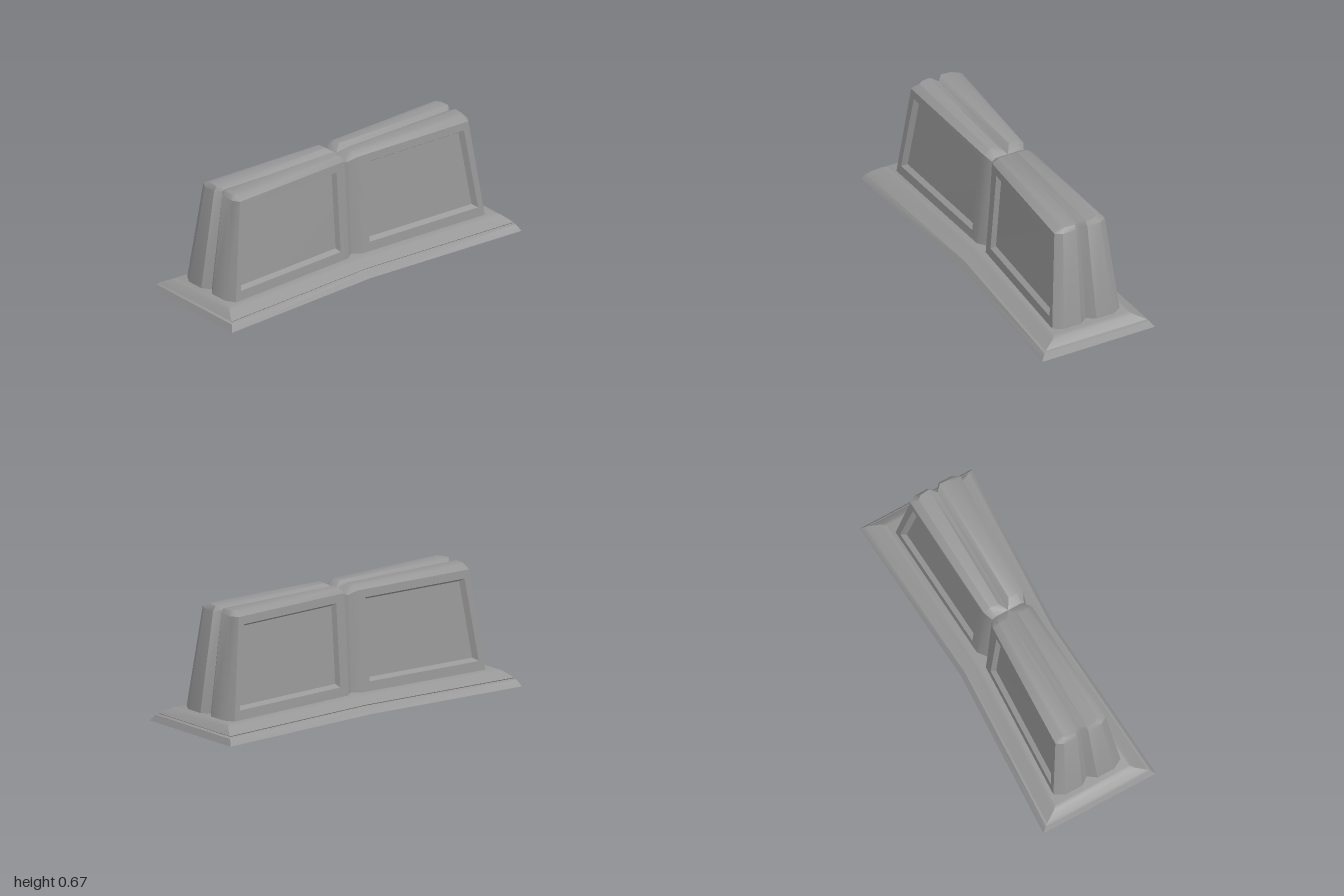
import * as THREE from 'three';
import { toCreasedNormals } from 'three/addons/utils/BufferGeometryUtils.js';

const material = new THREE.MeshStandardMaterial({ color: 0x969696, side: THREE.DoubleSide });

// Mesh from convex polygons, each a list of [x, y, z] corners counter-clockwise from outside
function polyMesh(name, polygons) {
  const pos = [];
  for (const p of polygons)
    for (let i = 1; i < p.length - 1; i++) pos.push(...p[0], ...p[i], ...p[i + 1]);
  const g = new THREE.BufferGeometry();
  g.setAttribute('position', new THREE.Float32BufferAttribute(pos, 3));
  const m = new THREE.Mesh(toCreasedNormals(g, 0.6), material);
  m.name = name;
  return m;
}

// Quads joining two closed rings
const bridge = (a, b) => a.map((p, i) => {
  const j = (i + 1) % a.length;
  return [p, a[j], b[j], b[i]];
});

// Waisted plinth outline: half length x, half width z at the ends, waist at the middle
const plinthRing = (y, x, z, waist) =>
  [[x, y, z], [x, y, -z], [0, y, -waist], [-x, y, -z], [-x, y, z], [0, y, waist]];

// Outline of one quarter of the body, from the middle notch round to the end notch
const BOTTOM = [[0, 0.128], [0.05, 0.165], [0.86, 0.207], [0.893, 0.152], [0.893, 0.047], [0.858, 0]];
const SHOULDER = [[0, 0.098], [0.05, 0.122], [0.79, 0.155], [0.815, 0.115], [0.815, 0.034], [0.78, 0]];
const Y0 = 0.087, Y1 = 0.645, YTOP = 0.67, YSINK = 0.052;

function section(y) {
  const t = (y - Y0) / (Y1 - Y0);
  return BOTTOM.map((p, i) => [
    THREE.MathUtils.lerp(p[0], SHOULDER[i][0], t), y,
    THREE.MathUtils.lerp(p[1], SHOULDER[i][1], t)]);
}

// Point on the sloping large face, pushed in by depth
function facePoint(x, y, depth = 0) {
  const s = section(y);
  const t = (x - s[1][0]) / (s[2][0] - s[1][0]);
  return [x, y, THREE.MathUtils.lerp(s[1][2], s[2][2], t) - depth];
}

function quarterPolygons() {
  const low = section(YSINK), high = section(Y1);
  high[0][1] = 0.622; // the shoulder dips into the cross notch
  const top = [[0, 0.64, 0.075], [0.05, YTOP, 0.085], [0.775, YTOP, 0.112],
    [0.795, YTOP, 0.09], [0.8, YTOP, 0.033], [0.77, 0.655, 0]];
  const polys = [];
  for (let i = 0; i < 5; i++) {
    if (i !== 1) polys.push([low[i], low[i + 1], high[i + 1], high[i]]);
    polys.push([high[i], high[i + 1], top[i + 1], top[i]]);
  }
  // Recessed panel with bevelled border
  const outer = [low[1], low[2], high[2], high[1]];
  const rim = [[0.1, 0.14], [0.82, 0.14], [0.757, 0.6], [0.1, 0.6]].map(p => facePoint(...p));
  const inner = [[0.115, 0.157], [0.797, 0.157], [0.738, 0.585], [0.115, 0.585]]
    .map(p => facePoint(...p, 0.025));
  polys.push(...bridge(outer, rim), ...bridge(rim, inner), inner);
  // Flat top, lengthwise groove and cross notch
  const corner = [0.05, YTOP, 0.033], centre = [0, 0.64, 0];
  polys.push([top[1], top[2], top[3], top[4], corner]);
  polys.push([corner, top[4], top[5], centre]);
  polys.push([top[0], top[1], corner, centre]);
  return polys;
}

export function createModel() {
  const group = new THREE.Group();

  // Two-tier plinth, open below
  const rings = [
    plinthRing(0, 1, 0.347, 0.29),
    plinthRing(0.035, 0.982, 0.322, 0.268),
    plinthRing(0.041, 0.968, 0.306, 0.252),
    plinthRing(0.046, 0.975, 0.311, 0.257),
    plinthRing(0.078, 0.94, 0.25, 0.208),
    plinthRing(0.087, 0.92, 0.23, 0.19),
  ];
  const sides = rings.slice(1).flatMap((r, i) => bridge(rings[i], r));
  const cap = rings[5];
  const capHalves = [[cap[0], cap[1], cap[2], cap[5]], [cap[5], cap[2], cap[3], cap[4]]];
  group.add(polyMesh('plinth', [...sides, ...capHalves]));

  // Four mirrored quarters of the body
  const quarter = quarterPolygons();
  for (const sx of [1, -1]) for (const sz of [1, -1]) {
    const polys = quarter.map(poly => {
      const q = poly.map(([x, y, z]) => [x * sx, y, z * sz]);
      return sx * sz < 0 ? q.reverse() : q;
    });
    group.add(polyMesh(`${sz > 0 ? 'front' : 'back'}${sx > 0 ? 'Left' : 'Right'}Block`, polys));
  }

  // Underside plate with an opening in the shape of the body
  const outline = plinthRing(YSINK, 0.965, 0.298, 0.246);
  const plate = new THREE.Shape(outline.map(p => new THREE.Vector2(p[0], p[2])));
  const half = section(YSINK).map(p => [p[0], p[2]]);
  const flip = (pts, a, b) => pts.map(([x, z]) => [x * a, z * b]);
  const loop = [
    ...half,
    ...flip(half, 1, -1).reverse().slice(1),
    ...flip(half, -1, -1).slice(1),
    ...flip(half, -1, 1).reverse().slice(1, -1),
  ];
  plate.holes.push(new THREE.Path(loop.map(p => new THREE.Vector2(...p))));
  const underside = new THREE.Mesh(new THREE.ShapeGeometry(plate).rotateX(Math.PI / 2), material);
  underside.position.y = YSINK;
  underside.name = 'underside';
  group.add(underside);

  return group;
}
